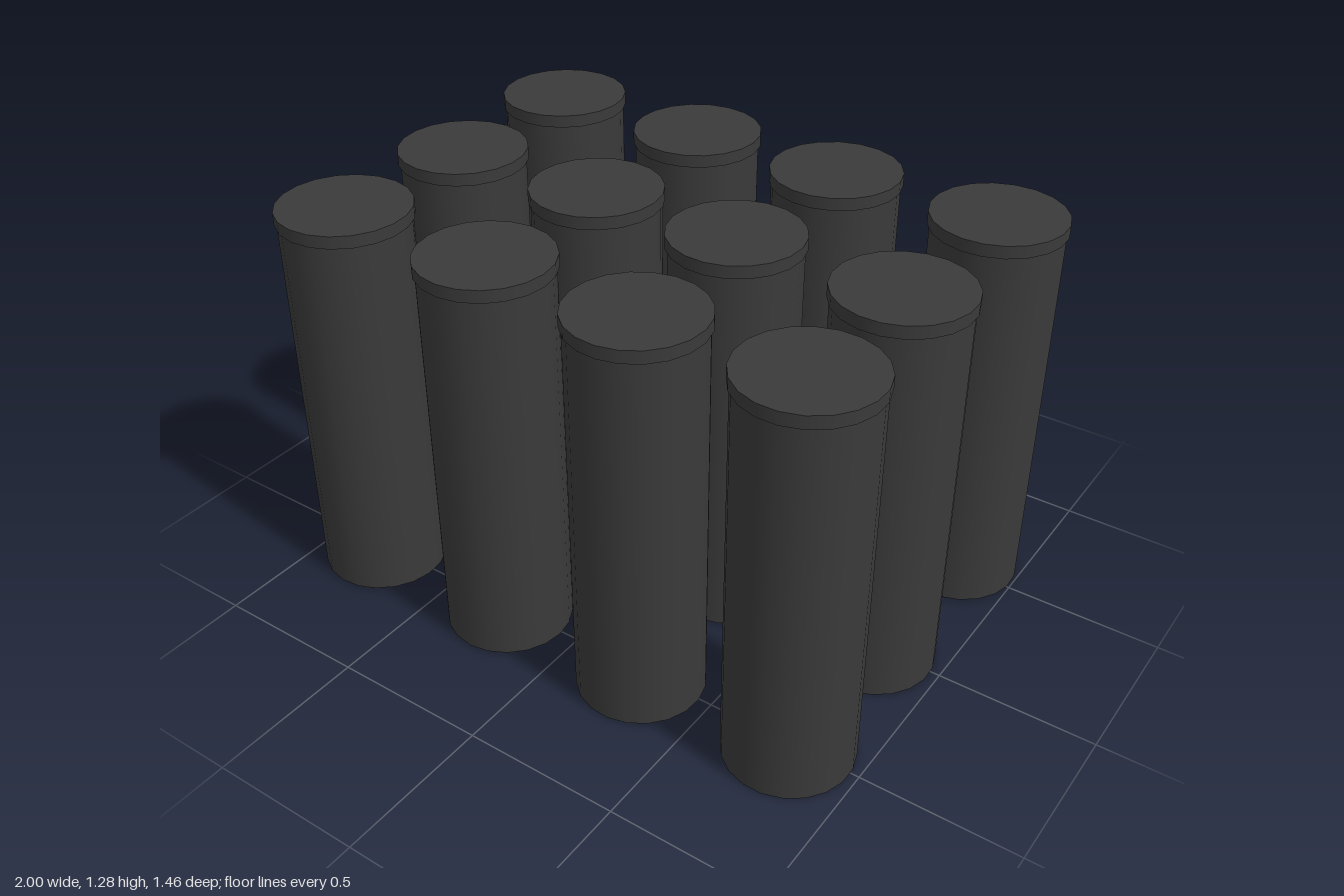
import * as THREE from 'three';

const SIDES = 20, HEIGHT = 1.285, LID_HEIGHT = 0.04;
const BODY_RADIUS = 0.198, LID_RADIUS = 0.205;

// [x, z] of each canister, row by row from back to front, slightly uneven
const ROWS = [
  [[-0.795, -0.525], [-0.255, -0.525], [0.26, -0.517], [0.795, -0.525]],
  [[-0.783, 0.006], [-0.265, -0.002], [0.235, 0.005], [0.773, 0.018]],
  [[-0.797, 0.513], [-0.26, 0.513], [0.26, 0.521], [0.775, 0.513]],
];

export function createModel() {
  const model = new THREE.Group();
  model.name = 'canisters';
  const material = new THREE.MeshStandardMaterial({ color: 0x3a3a3a });

  // shared shapes: tall body and a slightly wider lid
  const bodyHeight = HEIGHT - LID_HEIGHT;
  const bodyGeometry = new THREE.CylinderGeometry(BODY_RADIUS, BODY_RADIUS, bodyHeight, SIDES);
  bodyGeometry.translate(0, bodyHeight / 2, 0);
  const lidGeometry = new THREE.CylinderGeometry(LID_RADIUS, LID_RADIUS, LID_HEIGHT, SIDES);
  lidGeometry.translate(0, HEIGHT - LID_HEIGHT / 2, 0);

  ROWS.flat().forEach(([x, z], i) => {
    const canister = new THREE.Group();
    canister.name = `canister${i + 1}`;
    const body = new THREE.Mesh(bodyGeometry, material);
    body.name = 'body';
    const lid = new THREE.Mesh(lidGeometry, material);
    lid.name = 'lid';
    canister.add(body, lid);
    canister.position.set(x, 0, z);
    canister.rotation.y = i * 0.7; // each one turned a little differently
    model.add(canister);
  });

  return model;
}
